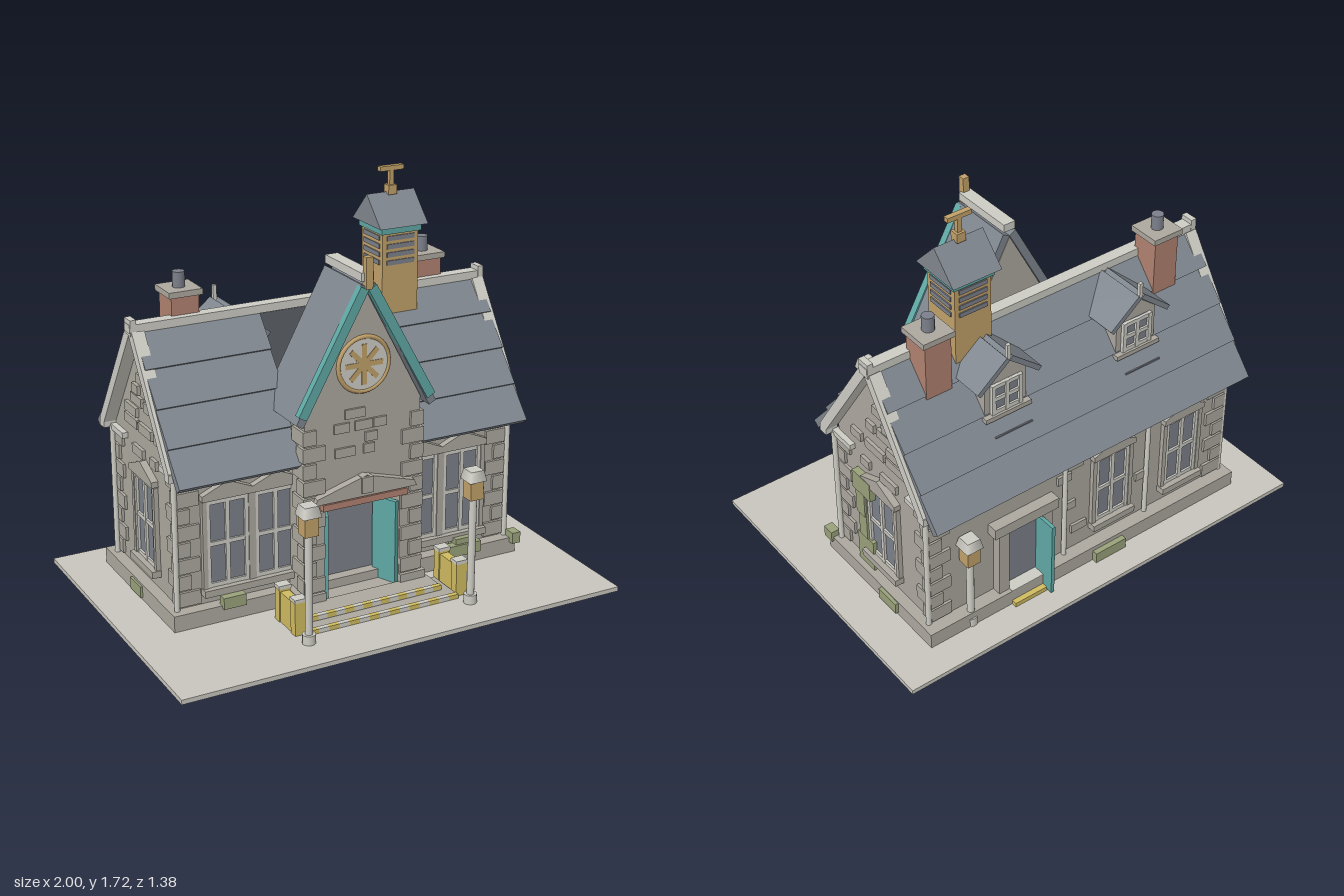
import * as THREE from 'three';

const mat = (name, color) => {
  const m = new THREE.MeshStandardMaterial({ color });
  m.name = name;
  return m;
};

export function createModel() {
  const ground = mat('paving', 0xc8c5bd), stone = mat('stone', 0xaca89f), trim = mat('pale trim', 0xcdccc4);
  const slate = mat('slate', 0x7f868e), teal = mat('teal paint', 0x5fa8a5), tan = mat('tan wood', 0xc1a16a);
  const brick = mat('brick', 0xb08270), yellow = mat('yellow paint', 0xcfbb60), moss = mat('moss', 0x99a17a);
  const glass = mat('glass', 0x7c808a);
  const root = new THREE.Group();
  root.name = 'stationHouse';

  const add = (p, name, geo, m) => {
    const o = new THREE.Mesh(geo, m);
    o.name = name;
    p.add(o);
    return o;
  };
  const group = (name, x = 0, y = 0, z = 0, ry = 0, p = root) => {
    const g = new THREE.Group();
    g.name = name;
    g.position.set(x, y, z);
    g.rotation.y = ry;
    p.add(g);
    return g;
  };
  // Box given by its extents
  const box = (p, name, m, x0, x1, y0, y1, z0, z1) => {
    const o = add(p, name, new THREE.BoxGeometry(x1 - x0, y1 - y0, z1 - z0), m);
    o.position.set((x0 + x1) / 2, (y0 + y1) / 2, (z0 + z1) / 2);
    return o;
  };
  const cyl = (p, name, m, r, y0, y1, x, z, r2 = r, n = 12) => {
    const o = add(p, name, new THREE.CylinderGeometry(r2, r, y1 - y0, n), m);
    o.position.set(x, (y0 + y1) / 2, z);
    return o;
  };
  const shape = pts => new THREE.Shape(pts.map(q => new THREE.Vector2(...q)));
  // Outline in (x, y) pushed along z, or outline in (z, y) pushed along x
  const prismZ = (p, name, m, pts, z0, z1, hole) => {
    const s = shape(pts);
    if (hole) s.holes.push(shape(hole));
    return add(p, name, new THREE.ExtrudeGeometry(s, { depth: z1 - z0, bevelEnabled: false }).translate(0, 0, z0), m);
  };
  const prismX = (p, name, m, pts, x0, x1) => add(p, name,
    new THREE.ExtrudeGeometry(shape(pts), { depth: x1 - x0, bevelEnabled: false }).rotateY(-Math.PI / 2).translate(x1, 0, 0), m);
  // Sloping slab outline from ridge a to eave b, thickness t0 at top and t1 at bottom
  const slab = (a, b, t0, t1 = t0) => {
    const dx = b[0] - a[0], dy = b[1] - a[1], l = Math.hypot(dx, dy), s = Math.sign(dx);
    const n = [-dy * s / l, dx * s / l].map(v => v * 1);
    const nx = n[0], ny = n[1];
    return [a, b, [b[0] + nx * t1, b[1] + ny * t1], [a[0] + nx * t0, a[1] + ny * t0]];
  };

  // Base, plinth and walls
  box(root, 'groundSlab', ground, -1, 1, 0, 0.02, -0.69, 0.69);
  box(root, 'plinth', stone, -0.81, 0.81, 0.02, 0.09, -0.55, 0.19);
  box(root, 'mainWalls', stone, -0.76, 0.76, 0.02, 0.72, -0.49, 0.135);
  box(root, 'atticFloor', ground, -0.75, 0.75, 0.72, 0.724, -0.48, 0.125);
  for (const s of [-1, 1]) {
    const x0 = s > 0 ? 0.71 : -0.76;
    prismX(root, 'gableWall', stone, [[-0.49, 0.68], [0.135, 0.68], [0.135, 0.72], [-0.175, 1.19], [-0.49, 0.72]], x0, x0 + 0.05);
  }

  // Main roof in stepped slate courses; the front is interrupted by the bay
  const RZ = -0.172;
  for (const s of [-1, 1]) {
    const at = f => [RZ + s * 0.402 * f, 1.17 - 0.53 * f];
    for (const [x0, x1] of s > 0 ? [[-0.8, -0.25], [0.25, 0.8]] : [[-0.8, 0.8]])
      for (let i = 0; i < 4; i++)
        prismX(root, 'roofCourse', slate, slab(at(i / 4), at((i + 1) / 4), 0.025, 0.037), x0, x1);
    // Gable edge boards, kneelers and eaves returns
    for (const e of [-1, 1]) {
      const [a, b] = e > 0 ? [0.76, 0.815] : [-0.815, -0.76];
      prismX(root, 'gableBoard', trim, slab([RZ, 1.165], [RZ + s * 0.325, 0.68], 0.042), a, b);
      const zk = RZ + s * 0.34;
      box(root, 'kneeler', trim, a, b, 0.665, 0.7, zk - 0.022, zk + 0.022);
      const zr = RZ + s * 0.255;
      box(root, 'eavesReturn', trim, e > 0 ? 0.755 : -0.785, e > 0 ? 0.785 : -0.755, 0.655, 0.68, zr - 0.065, zr + 0.065);
      cyl(root, 'downpipe', trim, 0.012, 0.09, 0.67, e * 0.778, RZ + s * 0.318);
    }
  }
  box(root, 'ridgeCap', trim, -0.82, 0.82, 1.18, 1.215, RZ - 0.028, RZ + 0.026);
  for (const e of [-1, 1]) box(root, 'ridgeEnd', trim, e * 0.805 - 0.013, e * 0.805 + 0.013, 1.17, 1.235, RZ - 0.03, RZ + 0.03);

  // Front bay with doorway
  const bay = group('frontBay');
  prismZ(bay, 'bayWalls', stone, [[-0.265, 0.02], [0.265, 0.02], [0.265, 0.87], [0, 1.37], [-0.265, 0.87]], 0, 0.27,
    [[-0.175, 0.05], [0.175, 0.05], [0.175, 0.46], [-0.175, 0.46]]);
  box(bay, 'doorwayGlass', glass, -0.175, 0.175, 0.05, 0.46, 0.135, 0.142);
  for (const s of [-1, 1]) {
    box(bay, 'bayPlinth', stone, s * 0.235 - 0.06, s * 0.235 + 0.06, 0.02, 0.09, 0.1, 0.285);
    const leaf = group('frontDoorLeaf', s * 0.165, 0.05, 0.265, s * 0.4, bay);
    box(leaf, 'doorLeaf', teal, -0.01, 0.01, 0, 0.37, -0.12, 0);
    prismZ(bay, 'bayRoof', slate, slab([0, 1.375], [s * 0.287, 0.838], 0.035), 0, 0.305);
    prismZ(bay, 'bayGableBoard', teal, slab([0, 1.365], [s * 0.275, 0.87], 0.04), 0.28, 0.312);
  }
  box(bay, 'bayRidgeCap', trim, -0.028, 0.028, 1.4, 1.435, 0, 0.3);
  box(bay, 'gableFinial', tan, -0.015, 0.015, 1.37, 1.5, 0.287, 0.317);
  box(bay, 'doorLintel', brick, -0.195, 0.195, 0.46, 0.488, 0.26, 0.3);
  prismZ(bay, 'doorPediment', stone, [[-0.235, 0.495], [0.235, 0.495], [0.225, 0.52], [0, 0.585], [-0.225, 0.52]], 0.26, 0.305);
  box(bay, 'keystone', stone, -0.025, 0.025, 0.51, 0.58, 0.26, 0.315);

  // Round window with spokes
  const rose = group('roundWindow', 0, 1.05, 0.272, 0, bay);
  add(rose, 'roundPane', new THREE.CylinderGeometry(0.115, 0.115, 0.008, 32).rotateX(Math.PI / 2), trim);
  add(rose, 'roundFrame', new THREE.TorusGeometry(0.114, 0.01, 6, 32), tan);
  for (let i = 0; i < 4; i++) add(rose, 'spoke', new THREE.BoxGeometry(0.022, 0.17, 0.014), tan).rotation.z = i * Math.PI / 4;

  // Mullioned window facing +z, its sill at the group origin
  const makeWindow = (x, y, z, ry, w = 0.17, h = 0.37, hood = true) => {
    const g = group('window', x, y, z, ry), t = 0.018;
    box(g, 'pane', glass, -w / 2, w / 2, 0, h, -0.002, 0.005);
    for (const cx of [-w / 2, 0, w / 2]) box(g, 'upright', trim, cx - t / 2, cx + t / 2, 0, h, 0, 0.016);
    for (const cy of [t / 2, h / 2, h - t / 2]) box(g, 'crossbar', trim, -w / 2, w / 2, cy - t / 2, cy + t / 2, 0, 0.014);
    if (!hood) return g;
    const e = w / 2 + 0.03;
    box(g, 'sill', stone, -e, e, -0.03, 0, -0.01, 0.04);
    prismZ(g, 'hood', stone, [[-e, h + 0.005], [e, h + 0.005], [e, h + 0.03], [0, h + 0.08], [-e, h + 0.03]], -0.01, 0.03);
    for (const s of [-1, 1]) box(g, 'jamb', stone, s * (w / 2 + 0.017) - 0.01, s * (w / 2 + 0.017) + 0.01, 0, h, -0.01, 0.02);
    return g;
  };
  for (const s of [-1, 1]) {
    for (const x of [0.55, 0.335]) makeWindow(s * x, 0.16, 0.135, 0, 0.17, 0.38);
    makeWindow(s * 0.76, 0.18, RZ, s * Math.PI / 2, 0.18, 0.365);
  }
  for (const x of [-0.15, -0.53]) makeWindow(x, 0.18, -0.49, Math.PI, 0.16, 0.34);

  // Corner stones, alternately long and short
  const quoins = (x, z, sx, sz, top) => {
    for (let i = 0, y = 0.1; y + 0.06 < top; i++, y += 0.072) {
      const a = i % 2 ? 0.06 : 0.1, b = i % 2 ? 0.1 : 0.06, q = 0.012;
      const o = add(root, 'cornerStone', new THREE.BoxGeometry(a, 0.062, b), stone);
      o.position.set(x + sx * (q - a / 2), y + 0.031, z + sz * (q - b / 2));
    }
  };
  for (const s of [-1, 1]) {
    quoins(s * 0.76, 0.135, s, 1, 0.68);
    quoins(s * 0.76, -0.49, s, -1, 0.68);
    quoins(s * 0.265, 0.27, s, 1, 0.84);
  }

  // Scattered raised stones: [across, height, width]
  const stones = (list, place) => list.forEach(([u, y, w]) => place(u, y, w));
  stones([[-0.04, 0.85, 0.09], [-0.1, 0.795, 0.07], [0, 0.795, 0.08], [0.075, 0.795, 0.06], [0.035, 0.74, 0.055], [-0.085, 0.69, 0.09], [0.025, 0.69, 0.05]],
    (u, y, w) => box(root, 'wallStone', stone, u - w / 2, u + w / 2, y - 0.02, y + 0.02, 0.265, 0.28));
  for (const s of [-1, 1])
    stones([[-0.18, 0.97, 0.07], [-0.235, 0.915, 0.06], [-0.12, 0.865, 0.055], [-0.225, 0.87, 0.11], [-0.29, 0.81, 0.12], [-0.015, 0.76, 0.07], [-0.145, 0.76, 0.13], [-0.29, 0.76, 0.13], [-0.07, 0.645, 0.06], [-0.23, 0.645, 0.11]],
      (u, y, w) => box(root, 'wallStone', stone, s * 0.765 - 0.01, s * 0.765 + 0.01, y - 0.02, y + 0.02, u - w / 2, u + w / 2));
  stones([[0.05, 0.55, 0.09], [0.1, 0.5, 0.07], [-0.34, 0.6, 0.09], [0.02, 0.2, 0.08], [0.62, 0.6, 0.1], [0.3, 0.6, 0.1], [-0.32, 0.3, 0.07], [0.07, 0.34, 0.06]],
    (u, y, w) => box(root, 'wallStone', stone, u - w / 2, u + w / 2, y - 0.02, y + 0.02, -0.502, -0.485));

  // Back door, open outwards
  const back = group('backDoor');
  box(back, 'backDoorGlass', glass, 0.23, 0.41, 0.03, 0.4, -0.497, -0.485);
  for (const x of [0.21, 0.43]) box(back, 'backDoorJamb', stone, x - 0.025, x + 0.025, 0.02, 0.41, -0.53, -0.48);
  box(back, 'backDoorHead', stone, 0.16, 0.48, 0.41, 0.46, -0.54, -0.48);
  box(back, 'backDoorwayFloor', trim, 0.235, 0.405, 0.09, 0.094, -0.552, -0.49);
  box(back, 'backDoorLeaf', teal, 0.23, 0.246, 0.03, 0.39, -0.605, -0.5);
  box(back, 'backStepEdge', yellow, 0.235, 0.405, 0.02, 0.04, -0.575, -0.55);
  for (const x of [-0.34, 0.1]) cyl(root, 'backDownpipe', trim, 0.011, 0.09, 0.72, x, -0.503);

  // Front steps with striped nosings and low side walls
  const steps = group('frontSteps');
  [[0.27, 0.46, 0.35, 0.035], [0.27, 0.39, 0.31, 0.055]].forEach(([z0, z1, w, y]) => {
    box(steps, 'step', stone, -w, w, 0.02, y, z0, z1);
    const n = 15, d = 2 * w / n;
    for (let i = 0; i < n; i++)
      box(steps, 'nosingStripe', i % 2 ? trim : yellow, -w + i * d, -w + (i + 1) * d, y - 0.015, y + 0.004, z1 - 0.018, z1 + 0.004);
  });
  for (const s of [-1, 1]) {
    const x = s * 0.375;
    box(steps, 'sideWall', yellow, x - 0.02, x + 0.02, 0.02, 0.155, 0.27, 0.44);
    for (const z of [0.285, 0.425]) {
      box(steps, 'sideWallPost', yellow, x - 0.025, x + 0.025, 0.02, 0.165, z - 0.02, z + 0.02);
      box(steps, 'postCap', trim, x - 0.028, x + 0.028, 0.165, 0.18, z - 0.023, z + 0.023);
    }
  }

  // Lamp posts
  const lamp = (x, z, h) => {
    const g = group('lampPost', x, 0, z);
    cyl(g, 'lampBase', trim, 0.028, 0.02, 0.06, 0, 0);
    cyl(g, 'lampPole', trim, 0.016, 0.06, h, 0, 0);
    box(g, 'lantern', tan, -0.03, 0.03, h, h + 0.08, -0.03, 0.03);
    const cap = cyl(g, 'lanternCap', trim, 0.056, h + 0.08, h + 0.125, 0, 0, 0.042, 4);
    cap.rotation.y = Math.PI / 4;
  };
  for (const s of [-1, 1]) lamp(s * 0.375, 0.515, 0.49);
  lamp(0.6, -0.53, 0.36);

  // Chimneys
  for (const s of [-1, 1]) {
    const c = group('chimney', s * 0.565, 0, -0.24);
    box(c, 'chimneyStack', brick, -0.06, 0.06, 0.98, 1.29, -0.062, 0.062);
    box(c, 'chimneyCap', stone, -0.073, 0.073, 1.29, 1.315, -0.073, 0.073);
    cyl(c, 'chimneyPot', glass, 0.026, 1.315, 1.38, 0, 0);
  }

  // Louvred bell turret
  const tower = group('turret', 0.37, 0, RZ);
  box(tower, 'turretBody', tan, -0.085, 0.085, 1.1, 1.46, -0.087, 0.087);
  for (const y of [1.33, 1.365, 1.4, 1.435]) {
    box(tower, 'louvre', glass, -0.065, 0.065, y - 0.01, y + 0.01, -0.092, 0.092);
    box(tower, 'sideLouvre', glass, -0.09, 0.09, y - 0.01, y + 0.01, -0.065, 0.065);
  }
  box(tower, 'turretCornice', teal, -0.095, 0.095, 1.455, 1.485, -0.097, 0.097);
  prismX(tower, 'turretRoof', slate, [[-0.12, 1.485], [0.12, 1.485], [0, 1.61]], -0.113, 0.113);
  box(tower, 'finialBase', tan, -0.02, 0.02, 1.6, 1.64, -0.02, 0.02);
  box(tower, 'finialPost', tan, -0.01, 0.01, 1.64, 1.72, -0.01, 0.01);
  box(tower, 'finialBar', tan, -0.055, 0.055, 1.7, 1.72, -0.012, 0.012);

  // Dormers on the back slope
  for (const x of [-0.33, 0.325]) {
    const d = group('dormer', x);
    prismZ(d, 'dormerWalls', stone, [[-0.1, 0.86], [0.1, 0.86], [0.1, 1.08], [0, 1.16], [-0.1, 1.08]], -0.4, -0.22);
    for (const s of [-1, 1]) prismZ(d, 'dormerRoof', slate, slab([0, 1.17], [s * 0.14, 1.055], 0.022), -0.43, -0.2);
    box(d, 'dormerFinial', trim, -0.008, 0.008, 1.17, 1.24, -0.425, -0.409);
    box(d, 'dormerSill', stone, -0.11, 0.11, 0.905, 0.925, -0.425, -0.39);
    box(d, 'roofVent', glass, -0.09, 0.09, 0.84, 0.852, -0.458, -0.445);
    makeWindow(x, 0.925, -0.4, Math.PI, 0.13, 0.14, false);
  }

  // Moss clumps and ivy
  [[-0.6, -0.5, 0.17, 0.21, 0.13], [0.46, 0.62, 0.17, 0.21, 0.12], [0.5, 0.58, 0.14, 0.2, 0.145], [-0.18, -0.02, -0.575, -0.53, 0.07],
    [0.78, 0.825, -0.32, -0.2, 0.085], [0.78, 0.82, 0.16, 0.215, 0.12], [-0.82, -0.78, -0.25, -0.14, 0.08]]
    .forEach(([x0, x1, z0, z1, y]) => box(root, 'moss', moss, x0, x1, y - 0.05, y, z0, z1));
  [[0.09, 0.24, -0.11, 0], [0.24, 0.38, -0.075, -0.02], [0.36, 0.5, -0.07, -0.01], [0.48, 0.57, -0.12, 0.005]]
    .forEach(([y0, y1, z0, z1], i) => box(root, 'ivy', moss, 0.755, 0.783 + i * 0.003, y0, y1, z0, z1));
  return root;
}
